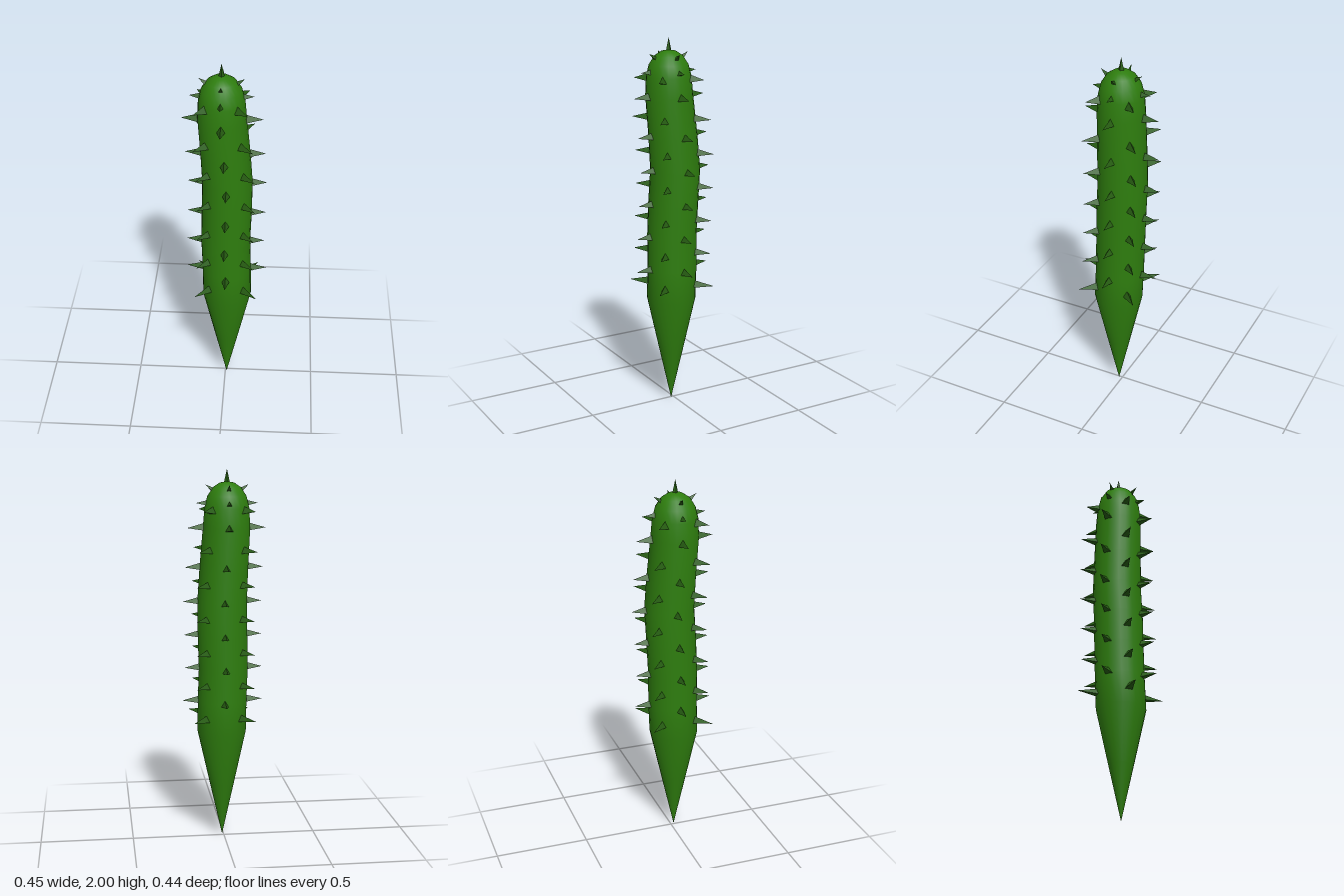
import * as THREE from 'three';

// Gentle bend of the stem: [y, x, z] of its centre line
const BEND = [
  [0, 0.008, 0.018], [0.6, 0.01, 0.018], [0.77, 0.008, 0.012], [0.95, 0.002, 0.01],
  [1.13, 0.007, 0.004], [1.31, 0.01, -0.006], [1.49, 0, 0.002], [1.7, -0.016, 0.015],
  [1.82, -0.018, 0.017], [2, -0.018, 0.017],
];

function centreAt(y) {
  for (let i = 1; i < BEND.length; i++) {
    const a = BEND[i - 1], b = BEND[i];
    if (y <= b[0]) {
      const t = (y - a[0]) / (b[0] - a[0]);
      return [a[1] + (b[1] - a[1]) * t, a[2] + (b[2] - a[2]) * t];
    }
  }
  return [-0.018, 0.017];
}

// Pyramid pointing along +z with one base corner upwards
function spikeGeometry(radius, length, sides) {
  const g = new THREE.ConeGeometry(radius, length, sides);
  g.translate(0, length / 2, 0);
  g.rotateY(Math.PI);
  g.rotateX(Math.PI / 2);
  return g;
}

export function createModel() {
  const model = new THREE.Group();
  model.name = 'spikyStem';
  const stemGreen = new THREE.MeshStandardMaterial({ color: 0x2e7d0e });
  stemGreen.name = 'stem green';
  const spikeGreen = new THREE.MeshStandardMaterial({ color: 0x265c12 });
  spikeGreen.name = 'dark spike green';
  spikeGreen.flatShading = true;

  // Stem: pointed foot, long shaft and rounded crown, shifted along the bend
  const profile = [
    [0, 0.004], [0.066, 0.3], [0.132, 0.6], [0.132, 0.77], [0.132, 0.95], [0.133, 1.13],
    [0.132, 1.31], [0.129, 1.49], [0.125, 1.7], [0.118, 1.8], [0.103, 1.86],
    [0.074, 1.905], [0.038, 1.929], [0, 1.936],
  ].map(([r, y]) => new THREE.Vector2(r, y));
  const stemGeo = new THREE.LatheGeometry(profile, 24);
  const pos = stemGeo.attributes.position;
  for (let i = 0; i < pos.count; i++) {
    const [cx, cz] = centreAt(pos.getY(i));
    pos.setXYZ(i, pos.getX(i) + cx, pos.getY(i), pos.getZ(i) + cz);
  }
  const stem = new THREE.Mesh(stemGeo, stemGreen);
  stem.name = 'stem';
  model.add(stem);

  // Ring of four spikes from radius rIn to rOut, tilted up by rise
  function addRing(name, y, turn, rIn, rOut, width, rise = 0) {
    const ring = new THREE.Group();
    ring.name = name;
    const [cx, cz] = centreAt(y);
    const geo = spikeGeometry(width, Math.hypot(rOut - rIn, rise), 3);
    for (let k = 0; k < 4; k++) {
      const a = turn + (k * Math.PI) / 2;
      const spike = new THREE.Mesh(geo, spikeGreen);
      spike.name = 'spike';
      spike.position.set(cx + Math.sin(a) * rIn, y, cz + Math.cos(a) * rIn);
      spike.lookAt(cx + Math.sin(a) * rOut, y + rise, cz + Math.cos(a) * rOut);
      ring.add(spike);
    }
    model.add(ring);
  }

  // Straight rings alternate with rings turned by an eighth
  const eighth = Math.PI / 4;
  for (const y of [0.77, 0.95, 1.13, 1.31, 1.49, 1.695]) {
    addRing('straightSpikeRing', y, 0, 0.11, y < 0.8 ? 0.216 : 0.208, 0.028);
  }
  [0.68, 0.86, 1.04, 1.22, 1.4, 1.58, 1.785].forEach((y, i) => {
    addRing('turnedSpikeRing', y, eighth, 0.105, i === 0 ? 0.236 : i === 6 ? 0.19 : 0.215, 0.029);
  });

  // Smaller spikes on the crown
  addRing('shoulderSpikeRing', 1.82, 0, 0.095, 0.163, 0.021, 0.004);
  addRing('crownSpikeRing', 1.882, 0, 0.065, 0.114, 0.018, 0.038);

  const [tx, tz] = centreAt(1.93);
  const topSpike = new THREE.Mesh(new THREE.ConeGeometry(0.018, 0.08, 4), spikeGreen);
  topSpike.name = 'topSpike';
  topSpike.position.set(tx, 1.96, tz);
  model.add(topSpike);

  return model;
}
